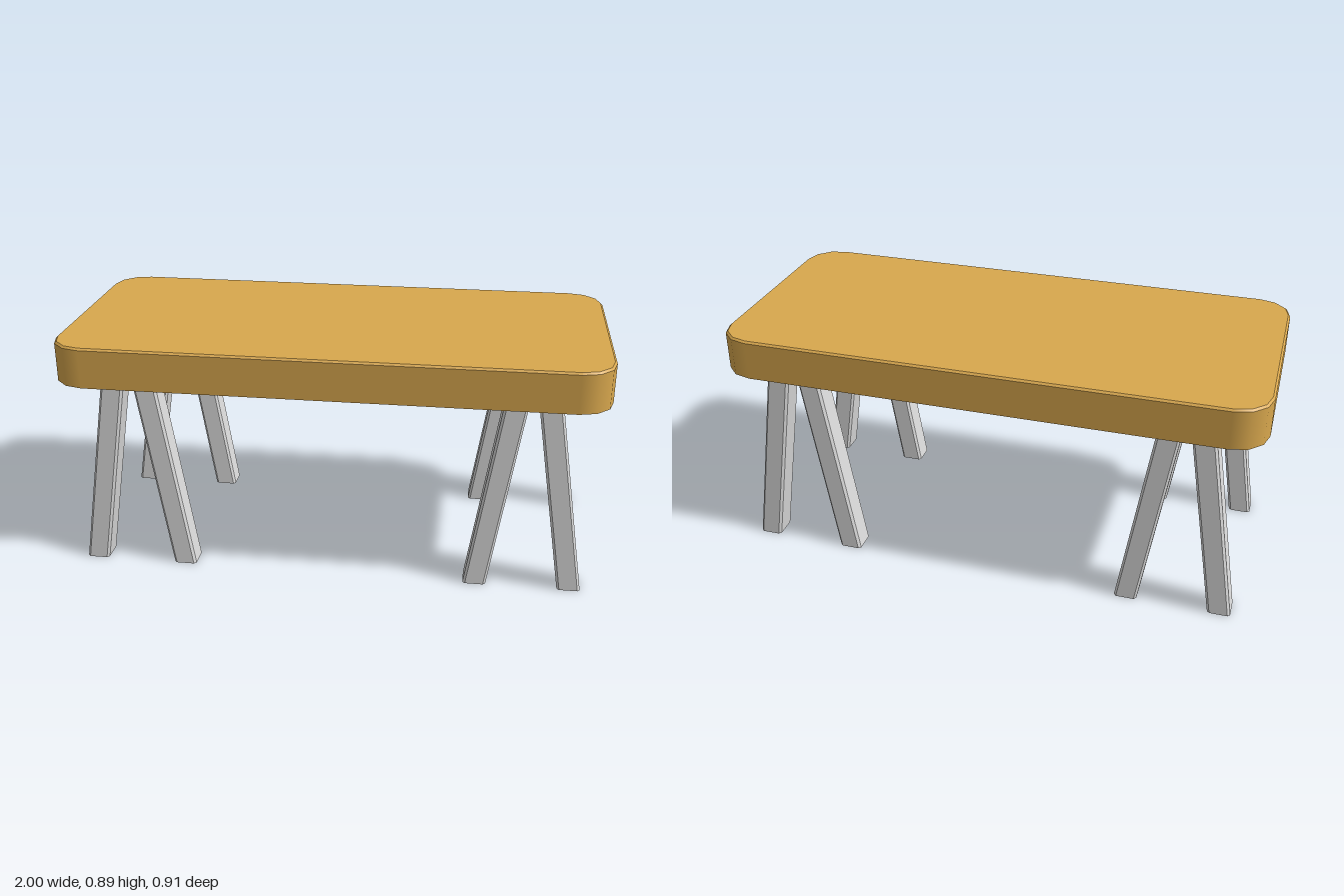
import * as THREE from 'three';

const wood = new THREE.MeshStandardMaterial({ color: 0xd9a84e, side: THREE.DoubleSide });
wood.name = 'honey wood';
const metal = new THREE.MeshStandardMaterial({ color: 0xdedede, side: THREE.DoubleSide });
metal.name = 'pale grey';

// Rounded rectangle outline, points as [x, z, normalX, normalZ]
function outline(halfX, halfZ, radius, segments) {
  const points = [];
  for (let corner = 0; corner < 4; corner++) {
    const sx = corner === 0 || corner === 3 ? 1 : -1;
    const sz = corner < 2 ? 1 : -1;
    for (let i = 0; i <= segments; i++) {
      const a = (corner + i / segments) * Math.PI / 2;
      const nx = Math.cos(a), nz = Math.sin(a);
      points.push([sx * (halfX - radius) + nx * radius, sz * (halfZ - radius) + nz * radius, nx, nz]);
    }
  }
  return points;
}

// Band between two matching outlines, normals tilted upward by "tilt"
function band(lower, y0, upper, y1, tilt = 0, shift = [0, 0]) {
  const position = [], normal = [], index = [], n = lower.length;
  for (let i = 0; i < n; i++) {
    const [x0, z0, nx, nz] = lower[i], [x1, z1] = upper[i];
    position.push(x0, y0, z0, x1 + shift[0], y1, z1 + shift[1]);
    const l = Math.hypot(1, tilt);
    for (let k = 0; k < 2; k++) normal.push(nx / l, tilt / l, nz / l);
    const a = 2 * i, b = 2 * ((i + 1) % n);
    index.push(a, a + 1, b, b, a + 1, b + 1);
  }
  const g = new THREE.BufferGeometry();
  g.setAttribute('position', new THREE.Float32BufferAttribute(position, 3));
  g.setAttribute('normal', new THREE.Float32BufferAttribute(normal, 3));
  g.setIndex(index);
  return g;
}

function addMesh(parent, name, geometry, material) {
  const mesh = new THREE.Mesh(geometry, material);
  mesh.name = name;
  parent.add(mesh);
  return mesh;
}

export function createModel() {
  const model = new THREE.Group();
  model.name = 'table';

  // Tabletop: thin shell, open underneath, with a small bevel
  const top = new THREE.Group();
  top.name = 'tabletop';
  model.add(top);
  const rim = outline(1, 0.455, 0.125, 3);
  const inner = outline(0.992, 0.447, 0.117, 3);
  addMesh(top, 'apron', band(rim, 0.742, rim, 0.885), wood);
  addMesh(top, 'bevel', band(rim, 0.885, inner, 0.892, 1), wood);
  const shape = new THREE.Shape(inner.map(([x, z]) => new THREE.Vector2(x, -z)));
  const surface = new THREE.ShapeGeometry(shape).rotateX(-Math.PI / 2).translate(0, 0.892, 0);
  addMesh(top, 'surface', surface, wood);

  // Legs: four splayed pairs of open, chamfered square tubes
  const section = outline(0.0425, 0.047, 0.009, 1);
  for (const side of [-1, 1]) {
    for (const z of [0.333, -0.352]) {
      const pair = new THREE.Group();
      pair.name = `${side > 0 ? 'left' : 'right'}${z > 0 ? 'Front' : 'Back'}LegPair`;
      model.add(pair);
      for (const [name, foot, head] of [['outerLeg', 0.904, 0.787], ['innerLeg', 0.555, 0.672]]) {
        const tube = band(section, 0, section, 0.744, 0, [side * (head - foot), 0]).toNonIndexed();
        tube.computeVertexNormals();
        addMesh(pair, name, tube, metal).position.set(side * foot, 0, z);
      }
    }
  }
  return model;
}
